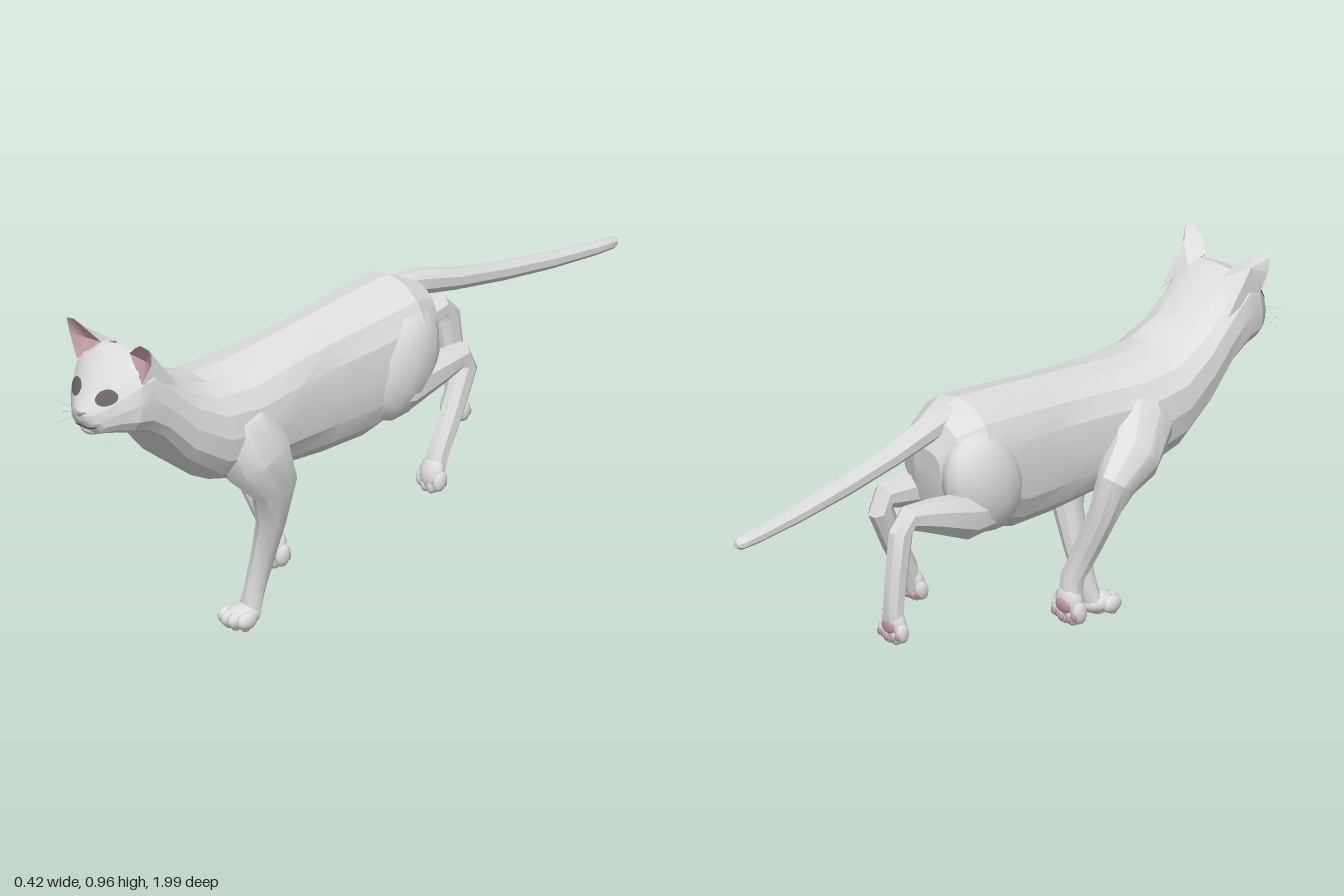
import * as THREE from 'three';
import { toCreasedNormals } from 'three/addons/utils/BufferGeometryUtils.js';

const CX = 0.017; // midline of the body
const V = (x, y, z) => new THREE.Vector3(x, y, z);

function material(name, color) {
  const m = new THREE.MeshStandardMaterial({ color, side: THREE.DoubleSide });
  m.name = name;
  return m;
}

// Closed skin over a list of rings with equal point counts
function skin(rings, crease = 0.3) {
  const n = rings[0].length, pos = [], idx = [];
  rings.forEach(r => r.forEach(p => pos.push(p.x, p.y, p.z)));
  for (let i = 0; i < rings.length - 1; i++) {
    for (let j = 0; j < n; j++) {
      const a = i * n + j, b = i * n + (j + 1) % n;
      idx.push(a, b, a + n, b, b + n, a + n);
    }
  }
  [0, rings.length - 1].forEach(i => {
    const c = V(0, 0, 0);
    rings[i].forEach(p => c.addScaledVector(p, 1 / n));
    const k = pos.length / 3;
    pos.push(c.x, c.y, c.z);
    for (let j = 0; j < n; j++) {
      const a = i * n + j, b = i * n + (j + 1) % n;
      if (i) idx.push(k, a, b); else idx.push(k, b, a);
    }
  });
  const g = new THREE.BufferGeometry();
  g.setAttribute('position', new THREE.Float32BufferAttribute(pos, 3));
  g.setIndex(idx);
  return toCreasedNormals(g, crease);
}

// Limb through points [x, y, z, half width, half depth]
function limb(pts, n = 8) {
  const c = pts.map(p => V(p[0], p[1], p[2]));
  return skin(c.map((p, i) => {
    const t = c[Math.min(i + 1, c.length - 1)].clone().sub(c[Math.max(i - 1, 0)]).normalize();
    const u = V(1, 0, 0).addScaledVector(t, -t.x).normalize();
    const v = t.clone().cross(u);
    return Array.from({ length: n }, (_, j) => {
      const a = (j + 0.5) / n * Math.PI * 2;
      return p.clone().addScaledVector(u, pts[i][3] * Math.cos(a)).addScaledVector(v, pts[i][4] * Math.sin(a));
    });
  }), 0.6);
}

// Body ring from its top (z, y), bottom (z, y), half width and squareness
function bodyRing([tz, ty, bz, by, w, e = 0.88], n = 16) {
  const sq = s => Math.sign(s) * Math.abs(s) ** e;
  return Array.from({ length: n }, (_, j) => {
    const a = j / n * Math.PI * 2, s = sq(Math.sin(a));
    return V(CX + w * sq(Math.cos(a)), (ty + by) / 2 + s * (ty - by) / 2, (tz + bz) / 2 + s * (tz - bz) / 2);
  });
}

function triangles(points, faces) {
  const g = new THREE.BufferGeometry();
  g.setAttribute('position', new THREE.Float32BufferAttribute(faces.flat().flatMap(i => points[i]), 3));
  return toCreasedNormals(g, 0.7);
}

export function createModel() {
  const root = new THREE.Group();
  const fur = material('grey fur', 0xdedede);
  const pink = material('pink skin', 0xc8a2ab);
  const dark = material('dark grey', 0x6e6667);

  const add = (name, geo, mat, parent = root) => {
    const m = new THREE.Mesh(geo, mat);
    m.name = name;
    parent.add(m);
    return m;
  };
  const ball = (name, mat, parent, p, s) => {
    const m = add(name, new THREE.SphereGeometry(1, 12, 8), mat, parent);
    m.position.set(...p);
    m.scale.set(...s);
    return m;
  };

  // Rump, trunk, neck and head in one skin
  const body = add('body', skin([
    [-0.268, 0.71, -0.255, 0.60, 0.05],
    [-0.235, 0.79, -0.23, 0.52, 0.11],
    [-0.15, 0.825, -0.17, 0.46, 0.147],
    [0, 0.81, 0, 0.408, 0.138],
    [0.15, 0.79, 0.15, 0.403, 0.128],
    [0.3, 0.772, 0.3, 0.415, 0.141],
    [0.45, 0.755, 0.45, 0.425, 0.16],
    [0.58, 0.757, 0.575, 0.457, 0.158],
    [0.68, 0.79, 0.69, 0.54, 0.144, 0.8],
    [0.77, 0.855, 0.775, 0.635, 0.137, 0.75],
    [0.83, 0.908, 0.84, 0.675, 0.137, 0.7],
    [0.874, 0.89, 0.885, 0.685, 0.132, 0.75],
    [0.92, 0.85, 0.922, 0.69, 0.102],
    [0.955, 0.803, 0.952, 0.692, 0.066],
    [0.978, 0.775, 0.972, 0.712, 0.04],
    [0.989, 0.762, 0.985, 0.735, 0.016],
  ].map(r => bodyRing(r))), fur);

  // Muzzle and chin
  const face = [body];
  for (const s of [-1, 1]) {
    face.push(ball('whiskerPad', fur, root, [CX + s * 0.025, 0.738, 0.948], [0.036, 0.023, 0.03]));
  }
  face.push(ball('chin', fur, root, [CX, 0.705, 0.945], [0.034, 0.018, 0.024]));

  // Thin face details laid onto the head
  root.updateMatrixWorld(true);
  const ray = new THREE.Raycaster();
  const lay = (name, geo, mat, lift = 0.004) => {
    const p = geo.attributes.position;
    for (let i = 0; i < p.count; i++) {
      ray.set(V(p.getX(i), p.getY(i), 2), V(0, 0, -1));
      const hit = ray.intersectObjects(face, false)[0];
      p.setZ(i, (hit ? hit.point.z : 0.93) + lift);
    }
    geo.computeVertexNormals();
    add(name, geo, mat);
  };
  for (const s of [-1, 1]) {
    const eye = new THREE.RingGeometry(0.001, 1, 14, 3);
    eye.scale(0.029, 0.021, 1).rotateZ(s * 0.15).translate(CX + s * 0.058, 0.806, 0);
    lay('eye', eye, dark);
  }
  const nose = new THREE.RingGeometry(0.0005, 0.016, 3, 4, Math.PI / 6);
  nose.scale(1.8, 0.7, 1).translate(CX, 0.759, 0);
  lay('nose', nose, pink);
  const mouth = new THREE.PlaneGeometry(0.09, 0.005, 14, 1);
  const mp = mouth.attributes.position;
  for (let i = 0; i < mp.count; i++) {
    const x = mp.getX(i);
    mp.setXY(i, CX + x, 0.72 + mp.getY(i) + 0.002 * Math.cos(x * 140));
  }
  lay('mouth', mouth, dark, 0.003);

  for (const s of [-1, 1]) {
    // Cupped ears: rim 0-5, back of the base 6-7, back 8, hollow 9
    const pts = [
      [0.055, 0.908, 0.855], [0.092, 0.938, 0.873], [0.128, 0.961, 0.885], [0.158, 0.955, 0.882], [0.157, 0.91, 0.872],
      [0.125, 0.845, 0.876], [0.128, 0.81, 0.75], [0.06, 0.89, 0.79], [0.125, 0.925, 0.842], [0.114, 0.9, 0.85],
    ].map(([x, y, z]) => [CX + s * x, y, z]);
    const fan = (hub, rim) => rim.slice(1).map((b, i) => (s > 0 ? [hub, rim[i], b] : [hub, b, rim[i]]));
    add('earBack', triangles(pts, fan(8, [0, 1, 2, 3, 4, 5, 6, 7, 0])), fur);
    add('earInside', triangles(pts, fan(9, [0, 5, 4, 3, 2, 1, 0])), pink);

    // Fine whiskers
    for (let i = 0; i < 3; i++) {
      const path = new THREE.LineCurve3(V(CX + s * 0.035, 0.735 + i * 0.008, 0.96), V(CX + s * 0.11, 0.69 + i * 0.035, 0.975));
      add('whisker', new THREE.TubeGeometry(path, 1, 0.0004, 3), fur);
    }
  }

  // Tail
  add('tail', limb([
    [0.012, 0.785, -0.17, 0.03, 0.028], [0.012, 0.772, -0.25, 0.036, 0.038], [0.01, 0.735, -0.4, 0.028, 0.031],
    [0.008, 0.705, -0.58, 0.025, 0.028], [0.007, 0.682, -0.76, 0.023, 0.024], [0.006, 0.668, -0.92, 0.02, 0.02],
    [0.006, 0.665, -0.985, 0.018, 0.017], [0.006, 0.665, -1, 0.009, 0.009],
  ]), fur);

  // Front legs
  add('leftFrontLeg', limb([
    [0.06, 0.7, 0.5, 0.04, 0.05], [0.1, 0.61, 0.485, 0.085, 0.1], [0.135, 0.51, 0.45, 0.08, 0.105],
    [0.143, 0.41, 0.39, 0.05, 0.072], [0.125, 0.3, 0.385, 0.038, 0.043], [0.098, 0.2, 0.387, 0.031, 0.036],
    [0.08, 0.1, 0.402, 0.028, 0.03], [0.072, 0.035, 0.415, 0.036, 0.027],
  ], 10), fur);
  add('rightFrontLeg', limb([
    [-0.03, 0.68, 0.5, 0.04, 0.05], [-0.088, 0.6, 0.44, 0.085, 0.105], [-0.138, 0.535, 0.35, 0.077, 0.085],
    [-0.158, 0.49, 0.275, 0.05, 0.06], [-0.135, 0.41, 0.255, 0.042, 0.043], [-0.085, 0.3, 0.245, 0.038, 0.037],
    [-0.045, 0.2, 0.225, 0.033, 0.032], [-0.045, 0.12, 0.215, 0.04, 0.026],
  ], 10), fur);

  // Hind legs, thighs slanting forward to the knee
  const thigh = (name, p, s) => {
    ball(name, fur, root, p, s).rotation.x = -0.5;
  };
  thigh('leftThigh', [0.104, 0.61, -0.105], [0.074, 0.165, 0.125]);
  add('leftHindLeg', limb([
    [0.1, 0.525, 0.0, 0.03, 0.03], [0.117, 0.54, -0.11, 0.053, 0.066], [0.113, 0.557, -0.25, 0.041, 0.047],
    [0.11, 0.565, -0.33, 0.031, 0.038], [0.112, 0.53, -0.343, 0.029, 0.038], [0.122, 0.42, -0.285, 0.028, 0.035],
    [0.13, 0.32, -0.225, 0.03, 0.033], [0.131, 0.255, -0.205, 0.032, 0.024],
  ]), fur);
  thigh('rightThigh', [-0.074, 0.61, -0.145], [0.08, 0.16, 0.125]);
  add('rightHindLeg', limb([
    [-0.08, 0.51, -0.08, 0.035, 0.04], [-0.095, 0.54, -0.23, 0.057, 0.065], [-0.1, 0.585, -0.37, 0.041, 0.047],
    [-0.1, 0.605, -0.455, 0.031, 0.036], [-0.1, 0.57, -0.482, 0.029, 0.038], [-0.1, 0.45, -0.5, 0.028, 0.035],
    [-0.1, 0.36, -0.51, 0.03, 0.031], [-0.1, 0.295, -0.505, 0.034, 0.024],
  ]), fur);

  // Paws with four toes and pink pads; pitch tips the toes down
  const paw = (name, p, pitch, size) => {
    const g = new THREE.Group();
    g.name = name;
    ball('pawBody', fur, g, [0, 0.03, -0.005], [0.045, 0.03, 0.052]);
    ball('mainPad', pink, g, [0, 0.004, -0.006], [0.027, 0.007, 0.022]);
    for (const x of [-0.037, -0.013, 0.013, 0.037]) {
      const z = Math.abs(x) > 0.02 ? 0.016 : 0.028;
      ball('toe', fur, g, [x, 0.025, z], [0.017, 0.024, 0.034]);
      ball('toePad', pink, g, [x, 0.004, z + 0.004], [0.01, 0.007, 0.014]);
    }
    g.position.set(...p);
    g.rotation.x = pitch;
    g.scale.setScalar(size);
    root.add(g);
  };
  paw('leftFrontPaw', [0.07, 0.003, 0.44], 0, 1);
  paw('rightFrontPaw', [-0.045, 0.125, 0.187], 1.4, 1);
  paw('leftHindPaw', [0.131, 0.262, -0.225], 1.25, 0.88);
  paw('rightHindPaw', [-0.1, 0.309, -0.533], 1.45, 0.88);

  return root;
}
